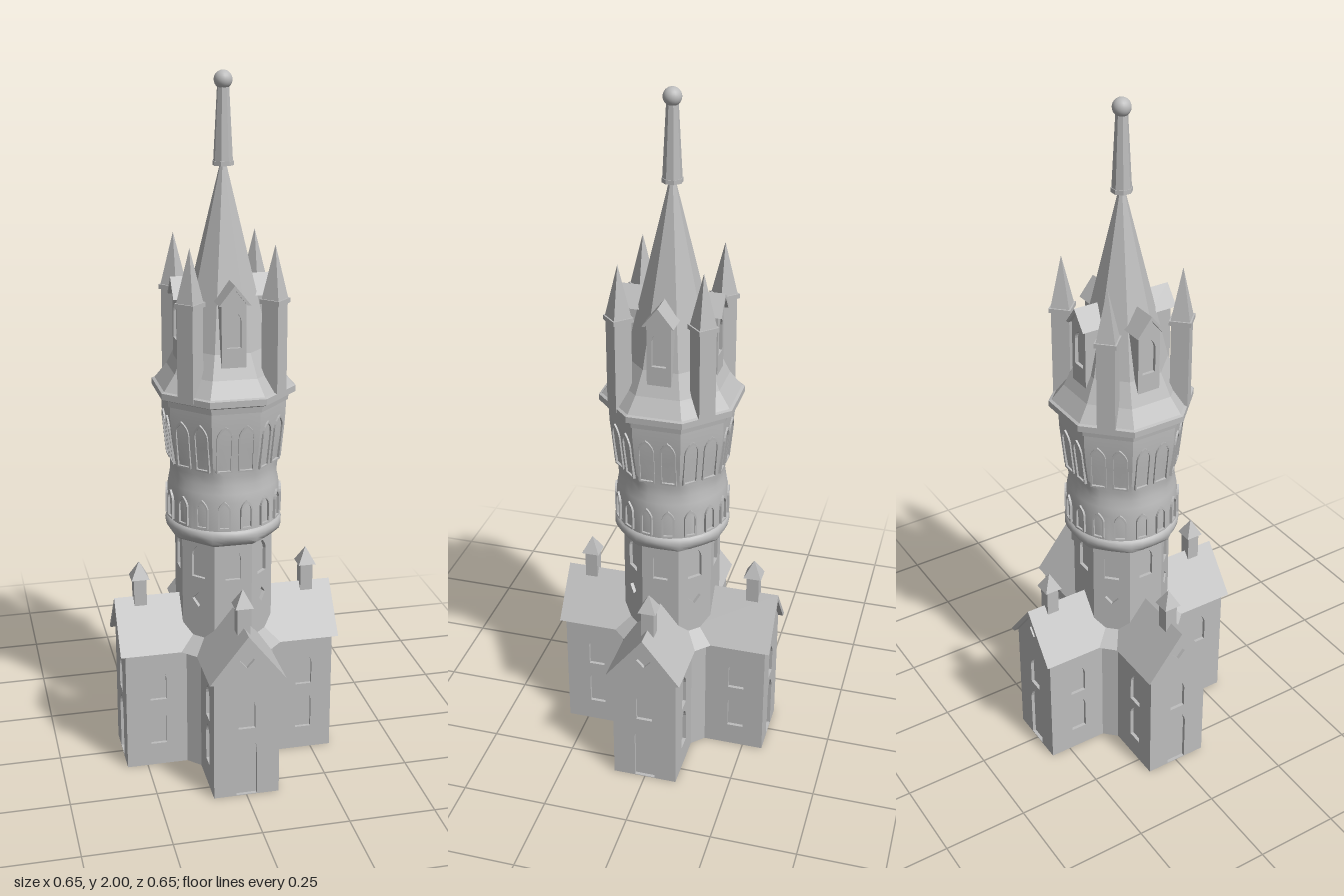
import * as THREE from 'three';
import { toCreasedNormals } from 'three/addons/utils/BufferGeometryUtils.js';
import { ConvexGeometry } from 'three/addons/geometries/ConvexGeometry.js';

const stone = new THREE.MeshStandardMaterial({ color: 0xbdbdbd });
stone.name = 'stone grey';

const OCT = Math.PI / 8;
const flat = (g) => toCreasedNormals(g, 0.1);

function add(parent, name, geometry, x = 0, y = 0, z = 0) {
  const m = new THREE.Mesh(geometry, stone);
  m.name = name;
  m.position.set(x, y, z);
  parent.add(m);
  return m;
}

// Group turned about the vertical axis, so its +z is the outward direction
function facing(parent, name, angle) {
  const g = new THREE.Group();
  g.name = name;
  g.rotation.y = angle;
  parent.add(g);
  return g;
}

// Prism with n sides; with eight sides a flat face looks along +z
function prism(rBottom, rTop, y0, y1, n, turn = 0) {
  const g = new THREE.CylinderGeometry(rTop, rBottom, y1 - y0, n);
  g.rotateY(turn);
  g.translate(0, (y0 + y1) / 2, 0);
  return flat(g);
}

// Turned octagonal profile of [apothem, height]
function octLathe(points) {
  const g = new THREE.LatheGeometry(points.map(([r, y]) => new THREE.Vector2(r / Math.cos(OCT), y)), 8);
  g.rotateY(OCT);
  return flat(g);
}

const polygon = (pts, Type = THREE.Shape) => new Type(pts.map(([x, y]) => new THREE.Vector2(x, y)));

// Pointed arch opening
function arch(cx, y0, y1, halfWidth, Type = THREE.Path) {
  const w = halfWidth, spring = y1 - w * 1.5, p = new Type();
  p.moveTo(cx - w, y0);
  p.lineTo(cx + w, y0);
  p.lineTo(cx + w, spring);
  p.quadraticCurveTo(cx + w * 0.85, y1 - w * 0.6, cx, y1);
  p.quadraticCurveTo(cx - w * 0.85, y1 - w * 0.6, cx - w, spring);
  p.closePath();
  return p;
}

const diamond = (y, s) => polygon([[0, y - s], [s * 0.9, y], [0, y + s], [-s * 0.9, y]], THREE.Path);

// Slab whose outer face lies at z = 0, pierced by openings
function panel(shape, holes, depth = 0.01) {
  shape.holes.push(...holes);
  const g = new THREE.ExtrudeGeometry(shape, { depth, bevelEnabled: false, curveSegments: 4 });
  g.translate(0, 0, -depth);
  return g;
}

const rect = (x0, x1, y0, y1) => polygon([[x0, y0], [x1, y0], [x1, y1], [x0, y1]]);

// Raised border round a pointed window
function windowFrame(height, halfWidth) {
  const s = arch(0, -height / 2, height / 2, halfWidth, THREE.Shape);
  return panel(s, [arch(0, -height / 2 + 0.005, height / 2 - 0.008, halfWidth - 0.005)], 0.012);
}

function buildBase(model) {
  const base = facing(model, 'base', 0);

  // Cross-shaped core with bevelled inner corners
  const quarter = [[0.3, -0.085], [0.3, 0.085], [0.13, 0.085], [0.13, 0.095], [0.095, 0.13], [0.085, 0.13]];
  const outline = [];
  for (let i = 0; i < 4; i++) {
    const c = Math.round(Math.cos(i * Math.PI / 2)), s = Math.round(Math.sin(i * Math.PI / 2));
    for (const [x, y] of quarter) outline.push([x * c - y * s, x * s + y * c]);
  }
  const core = new THREE.ExtrudeGeometry(polygon(outline), { depth: 0.372, bevelEnabled: false });
  core.rotateX(-Math.PI / 2);
  add(base, 'crossCore', core);

  const sideWindows = (x) => [arch(x, 0.07, 0.195, 0.024), arch(x, 0.215, 0.32, 0.024)];
  for (let i = 0; i < 4; i++) {
    const arm = facing(base, 'arm', i * Math.PI / 2);
    // End wall with door, window and gable light
    const end = polygon([[-0.095, 0], [0.095, 0], [0.095, 0.37], [0, 0.49], [-0.095, 0.37]]);
    add(arm, 'endWall', panel(end, [arch(0, 0.002, 0.195, 0.03), arch(0, 0.215, 0.32, 0.024), diamond(0.43, 0.024)]), 0, 0, 0.31);
    const gable = panel(polygon([[-0.095, 0.37], [0.095, 0.37], [0, 0.49]]), [], 0.3);
    add(arm, 'gableCore', gable, 0, 0, 0.3);

    // Side walls
    for (const s of [-1, 1]) {
      const wall = add(arm, 'sideWall', panel(rect(0.13, 0.31, 0, 0.371), sideWindows(0.225)), s * 0.095, 0, 0);
      if (s > 0) {
        wall.geometry.translate(-0.44, 0, 0);
      }
      wall.rotation.y = s * Math.PI / 2;
    }

    // Gabled roof with thin overhanging slopes
    const roof = polygon([[-0.11, 0.37], [-0.095, 0.37], [0, 0.49], [0.095, 0.37], [0.11, 0.37], [0, 0.51]]);
    add(arm, 'armRoof', panel(roof, [], 0.325), 0, 0, 0.325);

    // Sloped filler in the valley between two arms
    add(arm, 'valleyRoof', new ConvexGeometry([[0, 0.51, 0], [0, 0.37, 0], [0.148, 0.37, 0.11], [0.11, 0.37, 0.148]]
      .map((p) => new THREE.Vector3(...p))));

    // Ridge pinnacle
    const pin = facing(arm, 'ridgePinnacle', 0);
    pin.position.z = 0.25;
    add(pin, 'pinnacleShaft', prism(0.026, 0.026, 0.47, 0.572, 4, Math.PI / 4));
    add(pin, 'pinnacleCap', prism(0.037, 0, 0.57, 0.62, 4, Math.PI / 4));
  }
}

function buildTower(model) {
  const tower = facing(model, 'tower', 0);
  const half = 0.132 * Math.tan(OCT);
  add(tower, 'shaftCore', prism(0.122 / Math.cos(OCT), 0.122 / Math.cos(OCT), 0.36, 0.72, 8, OCT));
  for (let i = 0; i < 8; i++) {
    const side = facing(tower, 'shaftSide', i * OCT * 2);
    const holes = [arch(0, 0.595, 0.695, 0.022)];
    if (i % 2) holes.push(diamond(0.525, 0.023));
    add(side, 'shaftWall', panel(rect(-half, half, 0.38, 0.715), holes), 0, 0, 0.132);
  }

  // Drum: round at the belt, octagonal above and where it meets the shaft
  const profile = [[0.12, 0.7], [0.135, 0.703], [0.155, 0.715], [0.166, 0.73], [0.168, 0.742], [0.165, 0.752],
    [0.16, 0.756], [0.161, 0.84], [0.157, 0.865], [0.151, 0.89], [0.15, 0.915], [0.152, 0.945],
    [0.158, 1.0], [0.165, 1.07], [0.165, 1.12]];
  const g = new THREE.LatheGeometry(profile.map(([r, y]) => new THREE.Vector2(r, y)), 32);
  const p = g.attributes.position;
  for (let i = 0; i < p.count; i++) {
    const a = Math.atan2(p.getX(i), p.getZ(i)) + Math.PI * 2 + OCT;
    const oct = 1 / Math.cos((a % (2 * OCT)) - OCT);
    const y = p.getY(i);
    const t = Math.max(THREE.MathUtils.smoothstep(y, 0.85, 0.98), 1 - THREE.MathUtils.smoothstep(y, 0.7, 0.74));
    const k = 1 + (oct - 1) * t;
    p.setX(i, p.getX(i) * k);
    p.setZ(i, p.getZ(i) * k);
  }
  add(tower, 'drum', toCreasedNormals(g, 0.65));

  // Two tall and two small windows to each side
  for (let i = 0; i < 16; i++) {
    const belt = facing(tower, 'beltWindow', (i + 0.5) * OCT);
    add(belt, 'beltWindowFrame', windowFrame(0.085, 0.018), 0, 0.805, 0.166);
  }
  for (let i = 0; i < 8; i++) {
    const side = facing(tower, 'drumSide', i * OCT * 2);
    for (const s of [-1, 1]) {
      const f = add(side, 'tallWindowFrame', windowFrame(0.14, 0.023), s * 0.031, 1.0, 0.163);
      f.rotation.x = 0.1;
    }
  }
}

function buildSpire(model) {
  const top = facing(model, 'spire', 0);
  add(top, 'cornice', octLathe([[0.15, 1.1], [0.17, 1.105], [0.172, 1.122], [0.19, 1.13], [0.19, 1.148], [0.18, 1.152]]));
  add(top, 'spireRoof', octLathe([[0.186, 1.146], [0.15, 1.195], [0.12, 1.26], [0.006, 1.765]]));

  for (let i = 0; i < 4; i++) {
    // Corner turret
    const turret = facing(top, 'turret', i * Math.PI / 2);
    add(turret, 'turretShaft', prism(0.036, 0.036, 1.135, 1.4, 4), 0.117, 0, 0.117);
    add(turret, 'turretLedge', prism(0.043, 0.043, 1.395, 1.408, 4), 0.117, 0, 0.117);
    add(turret, 'turretCap', prism(0.037, 0, 1.408, 1.555, 4), 0.117, 0, 0.117);

    // Dormer with a recessed window and small gabled roof
    const dormer = facing(top, 'dormer', i * Math.PI / 2);
    const front = polygon([[-0.034, 1.2], [0.034, 1.2], [0.034, 1.405], [0, 1.445], [-0.034, 1.405]]);
    add(dormer, 'dormerFront', panel(front, [arch(0, 1.28, 1.385, 0.02)]), 0, 0, 0.136);
    const body = polygon([[-0.034, 1.2], [0.034, 1.2], [0.034, 1.405], [0, 1.445], [-0.034, 1.405]]);
    add(dormer, 'dormerBody', panel(body, [], 0.08), 0, 0, 0.126);
    const roof = polygon([[-0.044, 1.4], [-0.034, 1.4], [0, 1.443], [0.034, 1.4], [0.044, 1.4], [0, 1.455]]);
    add(dormer, 'dormerRoof', panel(roof, [], 0.09), 0, 0, 0.148);
  }

  // Finial
  add(top, 'finialCollar', prism(0.029, 0.029, 1.752, 1.764, 8, OCT));
  add(top, 'finialShaft', prism(0.027, 0.016, 1.76, 1.965, 8, OCT));
  add(top, 'finialBall', new THREE.SphereGeometry(0.025, 20, 14), 0, 1.975, 0);
}

export function createModel() {
  const model = new THREE.Group();
  model.name = 'gothicTower';
  buildBase(model);
  buildTower(model);
  buildSpire(model);
  return model;
}
